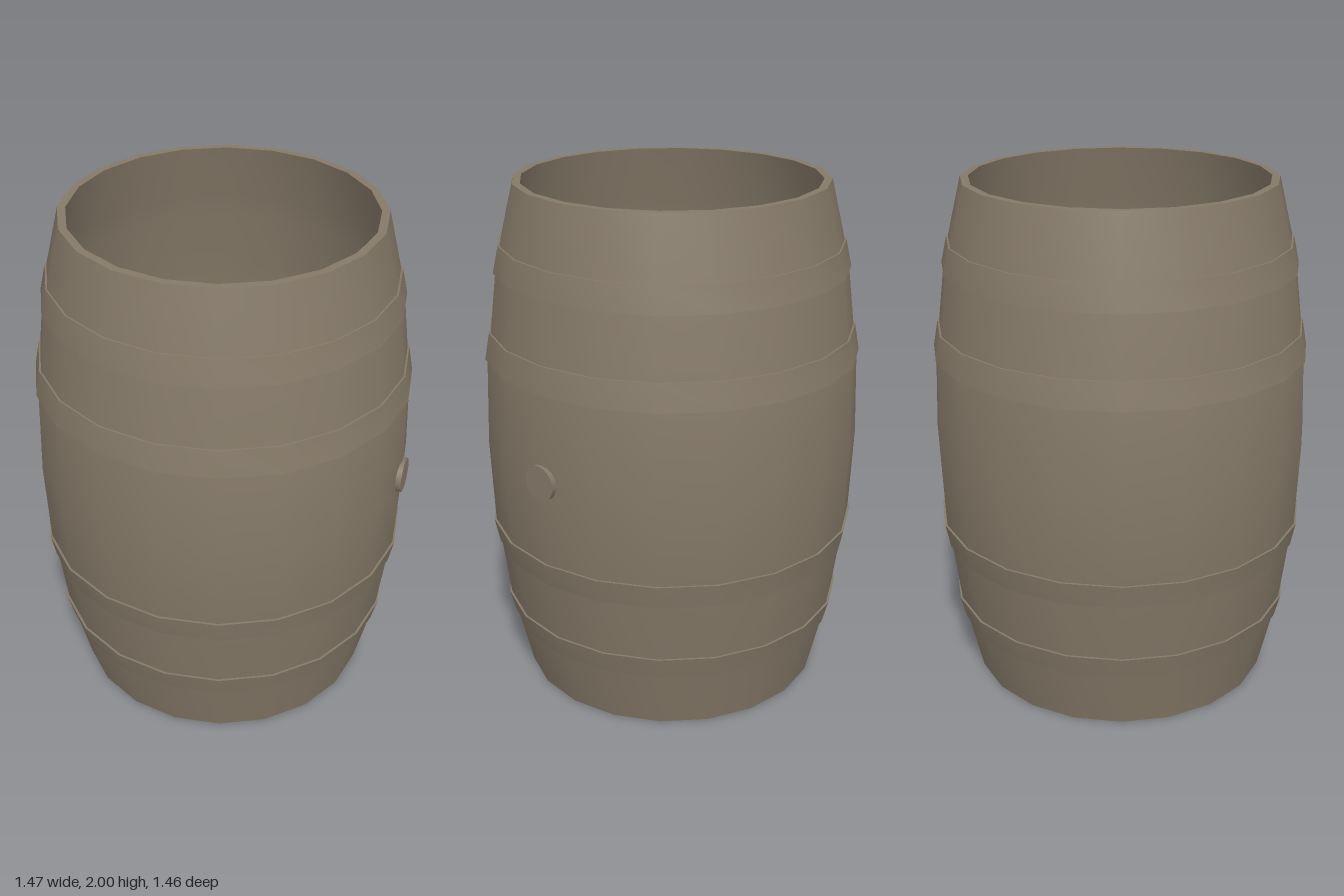
import * as THREE from 'three';
import { toCreasedNormals } from 'three/addons/utils/BufferGeometryUtils.js';

const SIDES = 20;

// Outer wall as [radius, y], bottom to top
const OUTER = [
  [0.595, 0], [0.65, 0.235], [0.672, 0.335], [0.7, 0.565], [0.718, 0.67], [0.73, 1],
  [0.718, 1.335], [0.7, 1.445], [0.672, 1.67], [0.65, 1.775], [0.595, 2],
];
const WALL = 0.03;

// Lathe a profile; facets stay smooth around, hard corners stay sharp
function turned(name, profile, material) {
  const points = profile.map(([r, y]) => new THREE.Vector2(r, y));
  const geometry = toCreasedNormals(new THREE.LatheGeometry(points, SIDES), 0.6);
  const mesh = new THREE.Mesh(geometry, material);
  mesh.name = name;
  return mesh;
}

export function createModel() {
  const wood = new THREE.MeshStandardMaterial({ color: 0x857968 });
  wood.name = 'weathered wood';
  const barrel = new THREE.Group();
  barrel.name = 'barrel';

  // Hollow staves, open at the top
  const inner = OUTER.map(([r, y]) => [r - WALL, y]);
  barrel.add(turned('staves', [...OUTER, ...inner.reverse(), OUTER[0]], wood));

  // Floor board, recessed above the lower rim
  barrel.add(turned('floor', [[0, 0.08], [0.59, 0.08], [0.59, 0.12], [0, 0.12]], wood));

  // Four hoops: [bottom y, bottom radius, top y, top radius]
  const hoops = [
    [0.24, 0.657, 0.33, 0.68], [0.57, 0.707, 0.665, 0.726],
    [1.34, 0.726, 1.443, 0.707], [1.672, 0.68, 1.773, 0.657],
  ];
  for (const [y0, r0, y1, r1] of hoops) {
    barrel.add(turned('hoop', [[r0 - 0.015, y0], [r0, y0], [r1, y1], [r1 - 0.015, y1]], wood));
  }

  // Bung plug on the left side
  const bung = new THREE.Mesh(
    toCreasedNormals(new THREE.CylinderGeometry(0.068, 0.068, 0.04, 16), 0.6), wood);
  bung.name = 'bung';
  bung.rotation.z = -Math.PI / 2;
  bung.position.set(0.72, 1.005, 0);
  barrel.add(bung);

  barrel.position.x = -0.005;
  const model = new THREE.Group();
  model.name = 'woodenBarrel';
  model.add(barrel);
  return model;
}
